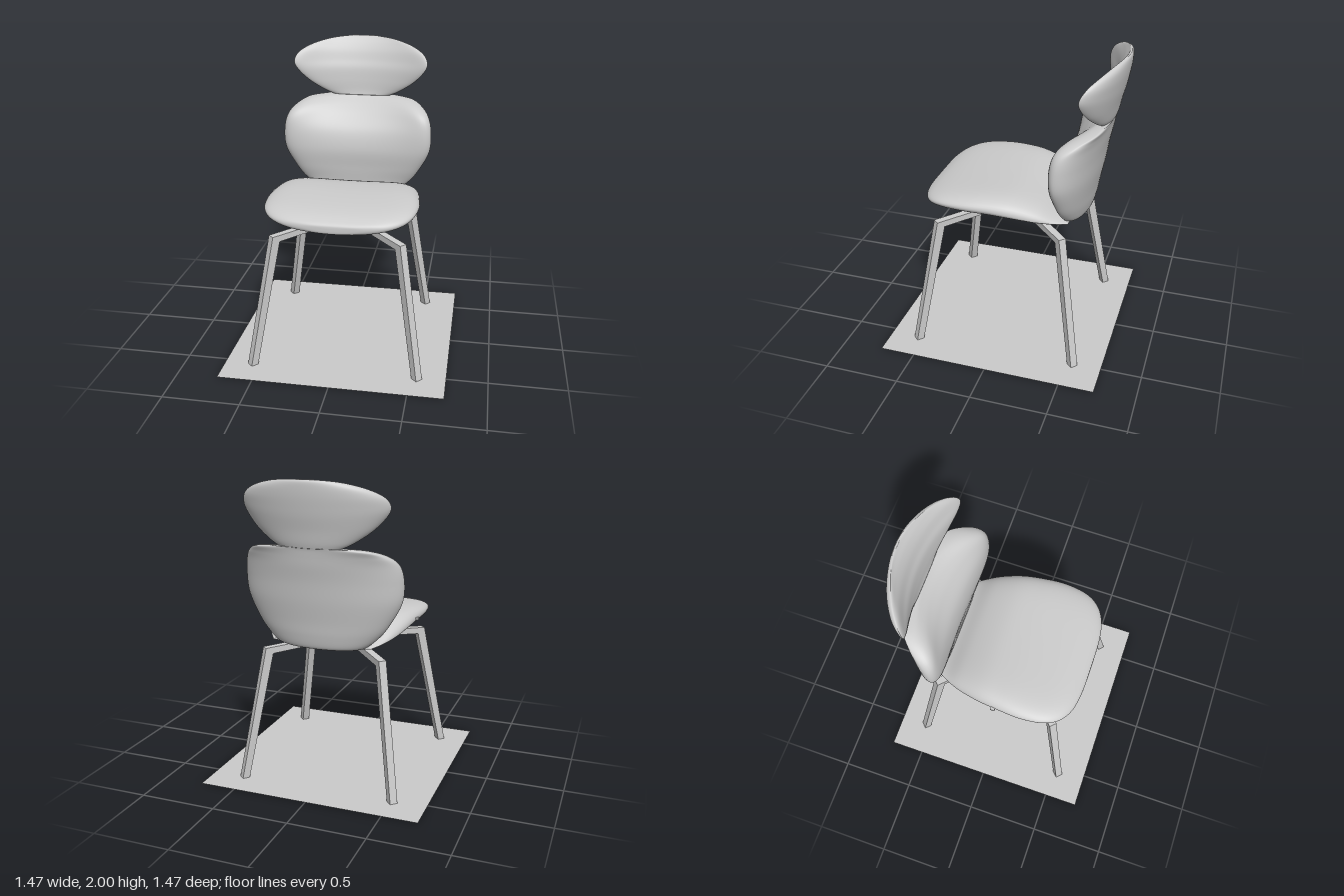
import * as THREE from 'three';

const grey = new THREE.MeshStandardMaterial({ color: 0xcccccc });
const greyThin = new THREE.MeshStandardMaterial({ color: 0xcccccc, side: THREE.DoubleSide });

function part(name, geometry, material = grey) {
  const mesh = new THREE.Mesh(geometry, material);
  mesh.name = name;
  return mesh;
}

// Smooth interpolation through rows of section values
function sampleRows(rows, t) {
  const f = t * (rows.length - 1);
  const i = Math.min(Math.floor(f), rows.length - 2);
  const k = f - i;
  const at = (n) => rows[Math.max(0, Math.min(rows.length - 1, n))];
  return rows[i].map((b, col) => {
    const a = at(i - 1)[col], c = at(i + 1)[col], d = at(i + 2)[col];
    return b + 0.5 * k * (c - a + k * (2 * a - 5 * b + 4 * c - d + k * (3 * (b - c) + d - a)));
  });
}

// Padded shape from sections. Each row: level, half width, front depth,
// edge depth, back depth, forward curl of the sides.
function cushion(rows, backPower, steps = 60, sides = 72) {
  const pos = [], index = [];
  for (let i = 0; i <= steps; i++) {
    const [y, w, front, edge, back, curl] = sampleRows(rows, i / steps);
    for (let j = 0; j < sides; j++) {
      const a = (j / sides) * Math.PI * 2;
      const u = Math.abs(Math.cos(a));
      const z = j <= sides / 2
        ? edge + (front + curl * u * u - edge) * Math.sqrt(Math.max(0, 1 - u ** 6))
        : edge + (back - edge) * Math.max(0, 1 - u * u) ** backPower;
      pos.push(w * Math.cos(a), y, z);
    }
  }
  for (let i = 0; i < steps; i++) {
    for (let j = 0; j < sides; j++) {
      const a = i * sides + j, b = i * sides + (j + 1) % sides;
      index.push(a, a + sides, b, b, a + sides, b + sides);
    }
  }
  // End caps
  for (const [row, start, top] of [[rows[0], 0, false], [rows[rows.length - 1], steps * sides, true]]) {
    const centre = pos.length / 3;
    pos.push(0, row[0], (row[2] + row[4]) / 2);
    for (let j = 0; j < sides; j++) {
      const a = start + j, b = start + (j + 1) % sides;
      if (top) index.push(centre, b, a);
      else index.push(centre, a, b);
    }
  }
  const g = new THREE.BufferGeometry();
  g.setAttribute('position', new THREE.Float32BufferAttribute(pos, 3));
  g.setIndex(index);
  g.computeVertexNormals();
  return g;
}

export function createModel() {
  const chair = new THREE.Group();
  chair.name = 'chair';

  // Seat: sections run from the front edge to the back
  const seat = cushion([
    [-0.54, 0.05, 1.01, 1.0, 0.99, 0],
    [-0.535, 0.2, 1.03, 1.01, 0.975, 0],
    [-0.51, 0.33, 1.05, 1.02, 0.965, 0],
    [-0.45, 0.425, 1.075, 1.035, 0.96, 0],
    [-0.35, 0.48, 1.095, 1.05, 0.955, 0.005],
    [-0.2, 0.5, 1.11, 1.055, 0.95, 0.01],
    [-0.05, 0.49, 1.115, 1.05, 0.945, 0.015],
    [0.1, 0.47, 1.105, 1.03, 0.94, 0.015],
    [0.25, 0.43, 1.06, 0.995, 0.94, 0.01],
    [0.36, 0.38, 1.0, 0.97, 0.94, 0],
    [0.44, 0.33, 0.965, 0.955, 0.945, 0],
  ], 0.5);
  seat.rotateX(-Math.PI / 2);
  chair.add(part('seat', seat));

  // Backrest: thick at the bottom, with sides curling forward
  chair.add(part('backrest', cushion([
    [0.937, 0.2, -0.4, -0.44, -0.5, 0],
    [0.955, 0.29, -0.385, -0.43, -0.525, 0],
    [1.03, 0.38, -0.375, -0.41, -0.545, 0],
    [1.12, 0.445, -0.365, -0.4, -0.56, 0.02],
    [1.25, 0.51, -0.355, -0.385, -0.585, 0.04],
    [1.38, 0.52, -0.385, -0.39, -0.605, 0.08],
    [1.48, 0.5, -0.455, -0.42, -0.625, 0.14],
    [1.54, 0.45, -0.515, -0.49, -0.635, 0.15],
    [1.58, 0.37, -0.565, -0.57, -0.642, 0.09],
    [1.597, 0.25, -0.585, -0.61, -0.647, 0],
  ], 0.55)));

  // Headrest: wide, thin-edged and dished
  chair.add(part('headrest', cushion([
    [1.595, 0.2, -0.58, -0.6, -0.65, 0],
    [1.63, 0.27, -0.585, -0.58, -0.66, 0.02],
    [1.7, 0.37, -0.59, -0.545, -0.675, 0.06],
    [1.78, 0.445, -0.6, -0.515, -0.695, 0.1],
    [1.84, 0.47, -0.62, -0.51, -0.707, 0.12],
    [1.9, 0.44, -0.64, -0.545, -0.717, 0.11],
    [1.95, 0.35, -0.665, -0.605, -0.722, 0.07],
    [1.985, 0.22, -0.69, -0.66, -0.722, 0.03],
    [2.0, 0.08, -0.702, -0.705, -0.714, 0],
  ], 0.65)));

  // Four bent legs meeting at the middle
  const legShape = new THREE.Shape([
    [0, 0.91], [0.16, 0.908], [0.595, 0.882], [0.787, 0], [0.738, 0],
    [0.545, 0.842], [0.16, 0.868], [0, 0.87],
  ].map(([r, y]) => new THREE.Vector2(r, y)));
  const legGeometry = new THREE.ExtrudeGeometry(legShape, { depth: 0.05, bevelEnabled: false });
  legGeometry.translate(0, 0, -0.025);
  const feet = [
    ['frontLeftLeg', 0.5625, 0.5525], ['frontRightLeg', -0.5625, 0.5525],
    ['backLeftLeg', 0.53, -0.56], ['backRightLeg', -0.53, -0.56],
  ];
  for (const [name, x, z] of feet) {
    const leg = part(name, legGeometry);
    leg.rotation.y = Math.atan2(-z, x);
    leg.scale.x = Math.hypot(x, z) / 0.787;
    chair.add(leg);
  }

  // Swivel mount between legs and seat
  const mount = [[0, 0.9], [0.1, 0.9], [0.1, 0.915], [0.125, 0.918], [0.125, 0.932], [0.09, 0.935], [0.09, 0.955], [0, 0.955]];
  chair.add(part('swivelMount', new THREE.LatheGeometry(mount.map(([r, y]) => new THREE.Vector2(r, y)), 40), greyThin));

  // Small tab on the side seam of the seat
  const tab = part('seamTab', new THREE.BoxGeometry(0.03, 0.012, 0.03));
  tab.position.set(-0.49, 1.05, 0.02);
  chair.add(tab);

  // Thin square panel around the feet
  const panel = new THREE.PlaneGeometry(1.465, 1.465);
  panel.rotateX(-Math.PI / 2);
  panel.translate(0, 0.004, 0);
  chair.add(part('basePanel', panel, greyThin));

  return chair;
}
